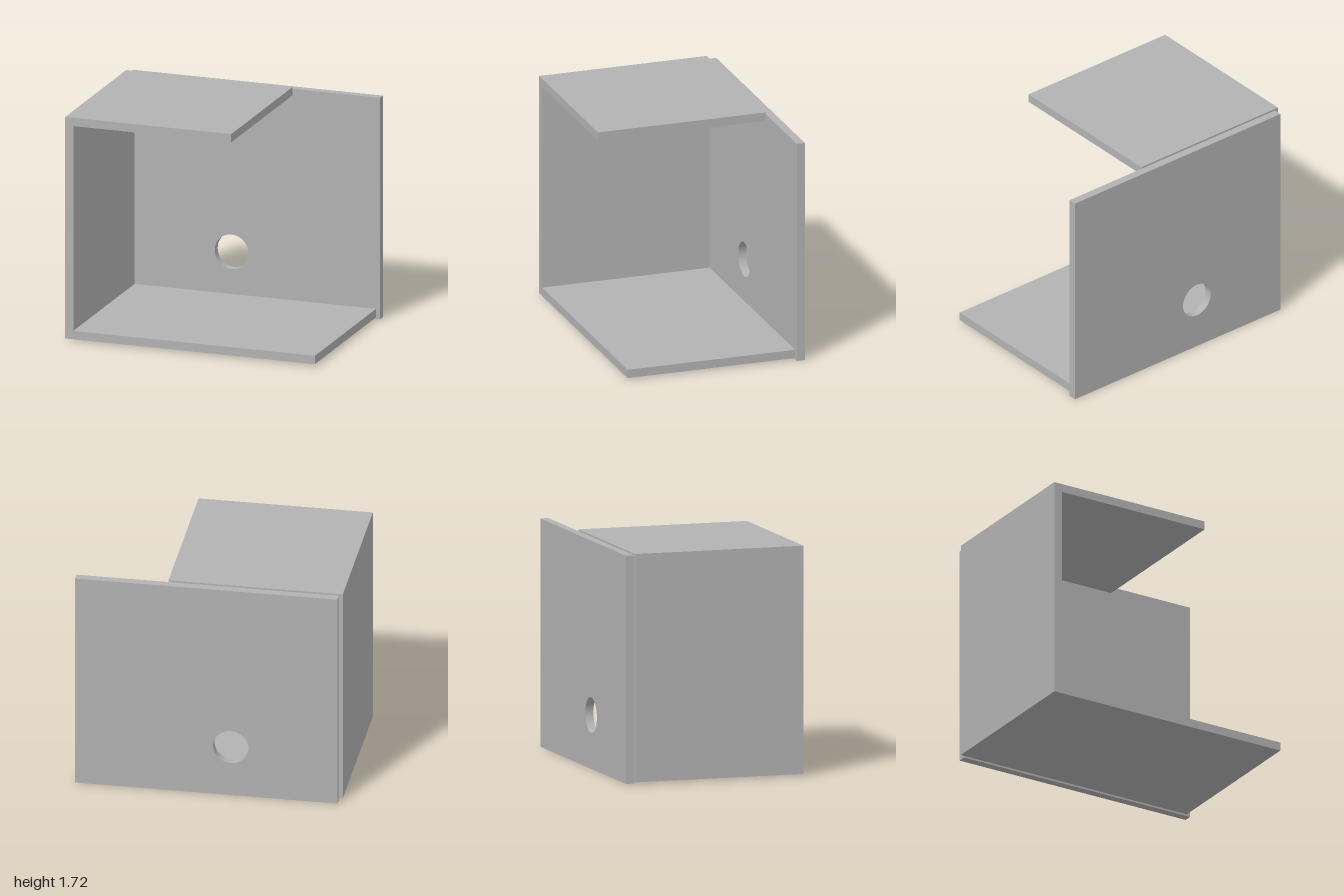
import * as THREE from 'three';

export function createModel() {
  const model = new THREE.Group();
  model.name = 'openBox';
  const grey = new THREE.MeshStandardMaterial({ color: 0xb2b2b2 });
  grey.name = 'grey';

  // Extrude an outline from z0 to z1
  function extrude(name, shape, z0, z1) {
    const geometry = new THREE.ExtrudeGeometry(shape, {
      depth: z1 - z0, bevelEnabled: false, curveSegments: 32,
    });
    geometry.translate(0, 0, z0);
    const mesh = new THREE.Mesh(geometry, grey);
    mesh.name = name;
    model.add(mesh);
  }
  const outline = (points) => new THREE.Shape(points.map(([x, y]) => new THREE.Vector2(x, y)));

  // Bracket: floor, side wall and short roof in one C-shaped section
  extrude('bracketShell', outline([
    [-1, 0.013], [0.97, 0.013], [0.97, 0.078], [-0.935, 0.078],
    [-0.935, 1.658], [0.31, 1.658], [0.31, 1.722], [-1, 1.722],
  ]), -0.625, 0.69);

  // Back panel with a round hole
  const panel = outline([[-0.97, 0], [1, 0], [1, 1.709], [-0.97, 1.709]]);
  panel.holes.push(new THREE.Path().absarc(-0.17, 0.402, 0.133, 0, Math.PI * 2, true));
  extrude('backPanel', panel, -0.69, -0.627);

  return model;
}
